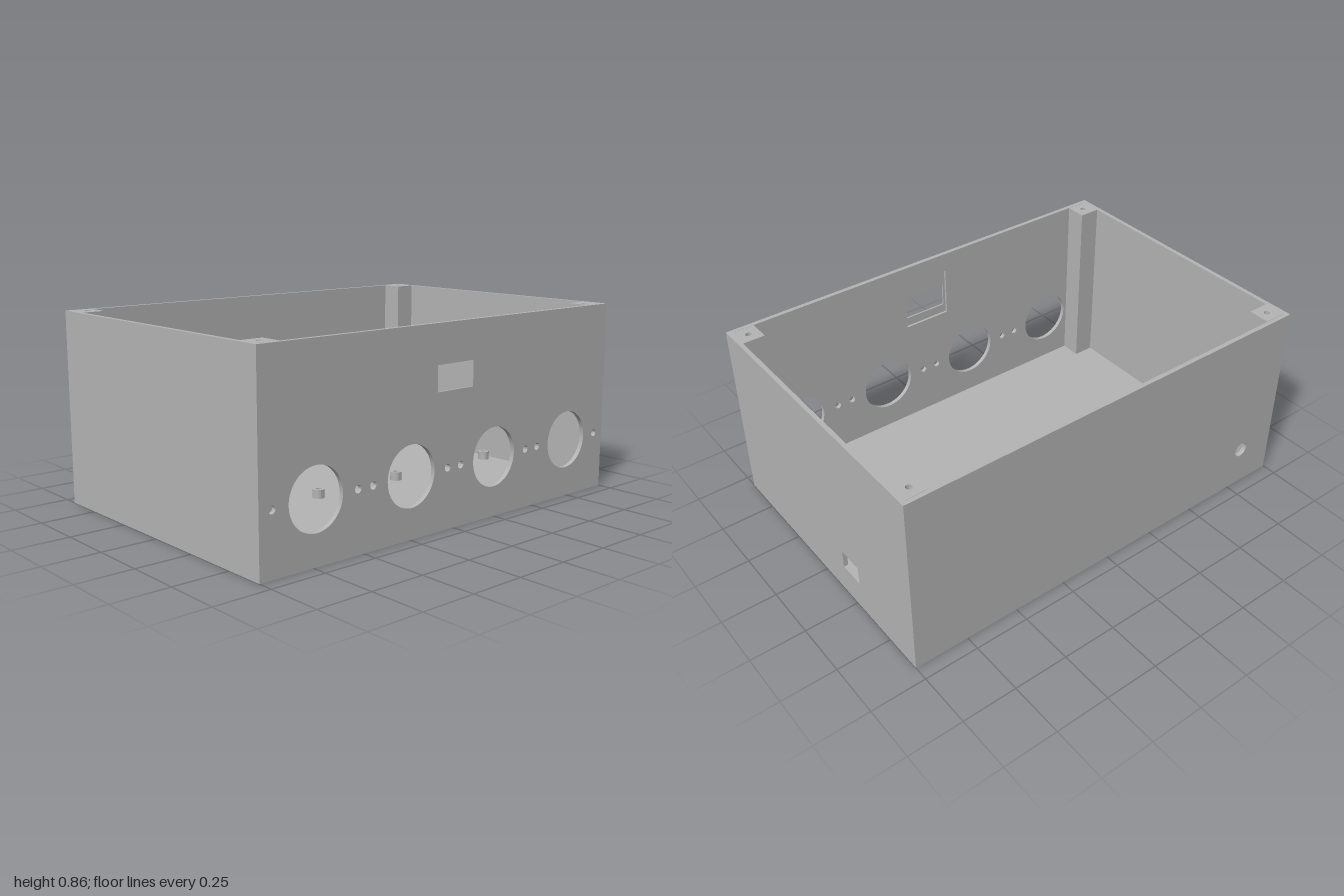
import * as THREE from 'three';
import { toCreasedNormals } from 'three/addons/utils/BufferGeometryUtils.js';

const HX = 1, HZ = 0.683, H = 0.86, T = 0.02; // half width, half depth, height, wall thickness

function rectInto(path, x0, y0, x1, y1) {
  path.moveTo(x0, y0);
  path.lineTo(x1, y0);
  path.lineTo(x1, y1);
  path.lineTo(x0, y1);
  path.closePath();
  return path;
}
const rect = (...c) => rectInto(new THREE.Shape(), ...c);
const rectHole = (...c) => rectInto(new THREE.Path(), ...c);
const roundHole = (x, y, r) => new THREE.Path().absarc(x, y, r, 0, Math.PI * 2, true);

// Plate with cut-outs, extruded along +z
function plate(shape, holes, depth) {
  shape.holes.push(...holes);
  const geo = new THREE.ExtrudeGeometry(shape, { depth, bevelEnabled: false, curveSegments: 24 });
  return toCreasedNormals(geo, 0.6);
}

export function createModel() {
  const model = new THREE.Group();
  const grey = new THREE.MeshStandardMaterial({ color: 0xb4b4b4 });
  grey.name = 'grey plastic';

  const add = (name, geo, x = 0, y = 0, z = 0) => {
    const mesh = new THREE.Mesh(geo, grey);
    mesh.name = name;
    mesh.position.set(x, y, z);
    model.add(mesh);
    return mesh;
  };

  // Floor
  add('floor', new THREE.BoxGeometry(2 * HX, T, 2 * HZ), 0, T / 2, 0);

  // Front wall: four large round openings, each with a screw hole either side
  const frontHoles = () => [-0.735, -0.245, 0.245, 0.735].flatMap((x) => [
    roundHole(x, 0.262, 0.13),
    roundHole(x - 0.206, 0.262, 0.016),
    roundHole(x + 0.206, 0.262, 0.016),
  ]);
  const recess = 0.012;
  add('frontWall', plate(rect(-HX, T, HX, H),
    [...frontHoles(), rectHole(-0.104, 0.582, 0.104, 0.692)], T - recess), 0, 0, HZ - T + recess);
  // Inner layer has a larger pocket behind the display window
  add('frontWallInner', plate(rect(-HX, T, HX, H),
    [...frontHoles(), rectHole(-0.115, 0.54, 0.115, 0.77)], recess), 0, 0, HZ - T);

  // Back wall with cable hole
  add('backWall', plate(rect(-HX, T, HX, H), [roundHole(-0.81, 0.195, 0.036)], T), 0, 0, -HZ);

  // Side walls, the right one with a socket opening
  const side = () => rect(-HZ + T, T, HZ - T, H);
  add('rightWall', plate(side(), [rectHole(0.16, 0.14, 0.281, 0.227)], T), HX - T, 0, 0).rotation.y = Math.PI / 2;
  add('leftWall', plate(side(), [], T), -HX, 0, 0).rotation.y = Math.PI / 2;

  // Corner posts with screw holes
  const post = plate(rect(-0.05, -0.05, 0.05, 0.05), [roundHole(0, 0, 0.013)], H - T);
  post.rotateX(-Math.PI / 2);
  for (const sx of [-1, 1]) {
    for (const sz of [-1, 1]) add('cornerPost', post, sx * 0.93, T, sz * 0.612);
  }

  // Hollow circuit board standoffs on the floor
  const ring = new THREE.Shape().absarc(0, 0, 0.027, 0, Math.PI * 2, false);
  const standoff = plate(ring, [roundHole(0, 0, 0.012)], 0.04);
  standoff.rotateX(-Math.PI / 2);
  const boards = [
    { xs: [-0.68, -0.17], zs: [-0.49, 0.022] },
    { xs: [0.302, 0.922], zs: [-0.473, 0.03] },
  ];
  for (const { xs, zs } of boards) {
    for (const x of xs) for (const z of zs) add('standoff', standoff, x, T, z);
  }

  return model;
}
